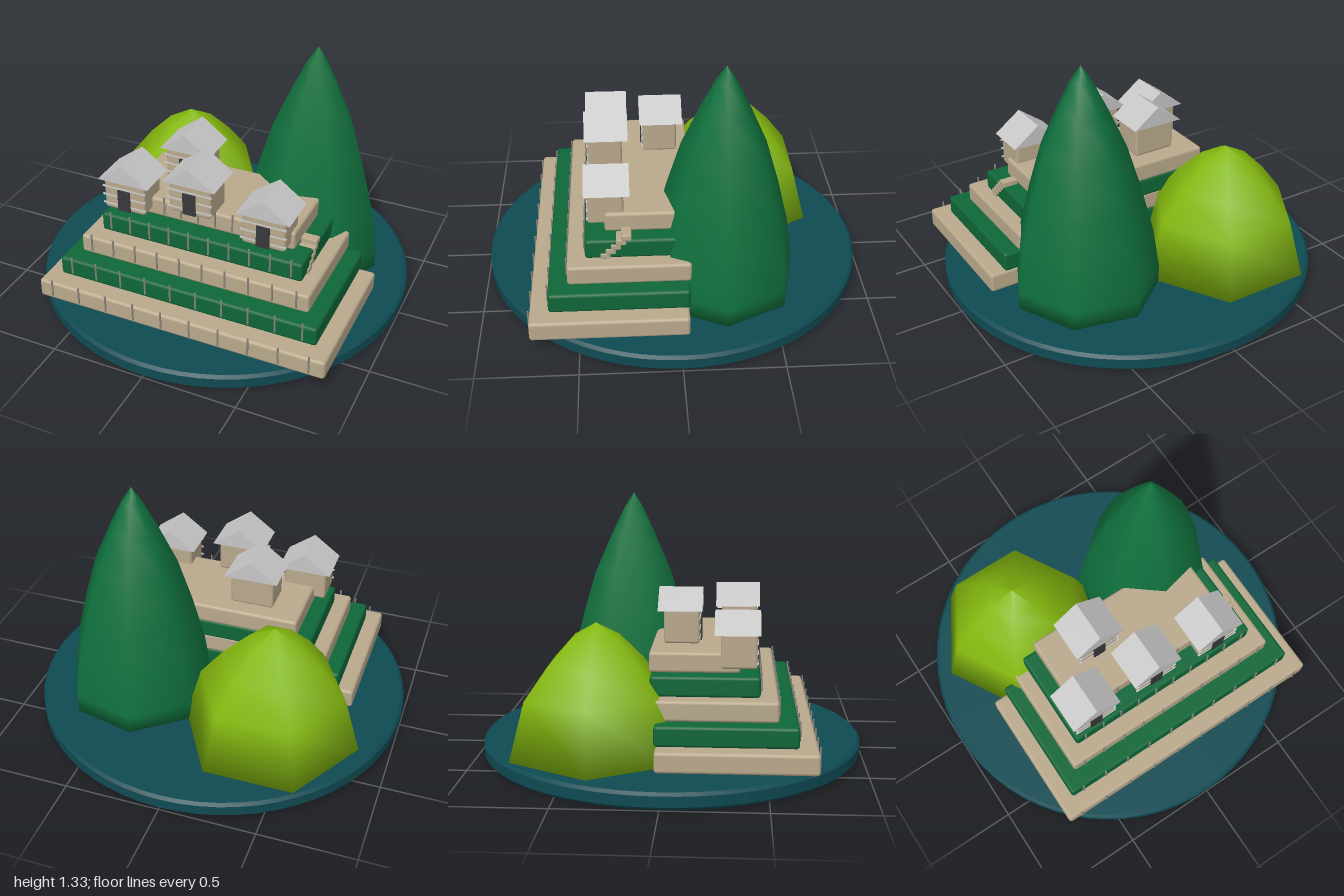
import * as THREE from 'three';
import { toCreasedNormals } from 'three/addons/utils/BufferGeometryUtils.js';
import { RoundedBoxGeometry } from 'three/addons/geometries/RoundedBoxGeometry.js';

const material = (name, color) => {
  const m = new THREE.MeshStandardMaterial({ color });
  m.name = name;
  return m;
};

export function createModel() {
  const teal = material('teal base', 0x0f4a52);
  const stone = material('tan stone', 0xb9a98c);
  const green = material('terrace green', 0x0f6638);
  const pine = material('mountain green', 0x10703d);
  const lime = material('hill lime', 0x84b80f);
  const roofGrey = material('roof grey', 0xc6c6c6);
  const postGrey = material('post grey', 0x8c8880);
  const doorDark = material('door charcoal', 0x38383a);

  const model = new THREE.Group();
  model.name = 'terracedHillVillage';

  const add = (parent, name, geometry, mat, x = 0, y = 0, z = 0) => {
    const mesh = new THREE.Mesh(geometry, mat);
    mesh.name = name;
    mesh.position.set(x, y, z);
    parent.add(mesh);
    return mesh;
  };
  const lathe = (points, sides, start = 0) => new THREE.LatheGeometry(
    points.map(([r, y]) => new THREE.Vector2(r, y)), sides, start);

  // Round base with bevelled rims
  const disc = lathe([[0, 0], [0.985, 0], [1, 0.015], [1, 0.068], [0.985, 0.083], [0, 0.083]], 64);
  add(model, 'base', toCreasedNormals(disc, 0.5), teal);

  // Mountains: closed, few-sided, softly shaded
  add(model, 'tallMountain', lathe([[0, 0.08], [0.385, 0.08], [0.385, 0.18], [0.353, 0.4],
    [0.29, 0.65], [0.218, 0.89], [0.125, 1.1], [0.052, 1.25], [0, 1.33]], 7, Math.PI / 2),
  pine, 0.4, 0, -0.235);
  add(model, 'lowHill', lathe([[0, 0.08], [0.47, 0.08], [0.385, 0.38],
    [0.26, 0.54], [0.13, 0.67], [0, 0.74]], 6, Math.PI / 2), lime, -0.38, 0, -0.355);

  // Terraces: [left, right, back, front, bottom], with posts along the front
  const terraces = [
    [-0.74, 0.845, -0.045, 0.742, 0.083],
    [-0.66, 0.765, -0.052, 0.648, 0.188],
    [-0.582, 0.685, -0.062, 0.552, 0.292],
    [-0.505, 0.612, -0.08, 0.462, 0.395],
    [-0.425, 0.532, -0.09, 0.362, 0.498],
  ];
  const postGeometry = new THREE.CylinderGeometry(0.005, 0.005, 0.1, 6);
  terraces.forEach(([left, right, back, front, bottom], i) => {
    const terrace = new THREE.Group();
    terrace.name = `terrace${i + 1}`;
    model.add(terrace);
    const width = right - left, depth = front - back, cx = (left + right) / 2;
    add(terrace, 'terraceSlab', new RoundedBoxGeometry(width, 0.104, depth, 2, 0.016),
      i % 2 ? green : stone, cx, bottom + 0.052, (front + back) / 2);
    for (let k = 0; k < 10; k++) {
      add(terrace, 'fencePost', postGeometry, postGrey,
        cx + (k / 9 - 0.5) * width * 0.9, bottom + 0.072, front + 0.003);
    }
  });

  // Side steps up to the top terrace
  const stepGeometry = new RoundedBoxGeometry(0.085, 0.03, 0.05, 1, 0.005);
  for (let k = 0; k < 5; k++) {
    add(model, 'step', stepGeometry, stone, 0.577, 0.412 + k * 0.026, 0.36 - k * 0.026);
  }

  // House: body, door, front battens and gable roof
  const bodyGeometry = new RoundedBoxGeometry(0.23, 0.175, 0.18, 2, 0.014);
  const doorGeometry = new THREE.BoxGeometry(0.07, 0.12, 0.008);
  const battenGeometry = new THREE.BoxGeometry(0.245, 0.008, 0.008);
  const gable = new THREE.Shape();
  gable.moveTo(-0.142, 0);
  gable.lineTo(0.142, 0);
  gable.lineTo(0, 0.105);
  const roofGeometry = new THREE.ExtrudeGeometry(gable, { depth: 0.225, bevelEnabled: false });
  roofGeometry.translate(0, 0, -0.1125);

  const addHouse = (x, y, z) => {
    const house = new THREE.Group();
    house.name = 'house';
    house.position.set(x, y, z);
    model.add(house);
    add(house, 'houseBody', bodyGeometry, stone, 0, 0.0875, 0.008);
    add(house, 'door', doorGeometry, doorDark, 0, 0.064, 0.103);
    for (const h of [0.03, 0.08, 0.13]) {
      add(house, 'wallBatten', battenGeometry, roofGrey, 0, h, 0.098);
    }
    add(house, 'roof', roofGeometry, roofGrey, 0, 0.17, 0);
  };
  addHouse(-0.372, 0.535, 0.348);
  addHouse(-0.162, 0.615, 0.058);
  addHouse(0, 0.615, 0.348);
  addHouse(0.398, 0.535, 0.348);

  return model;
}
